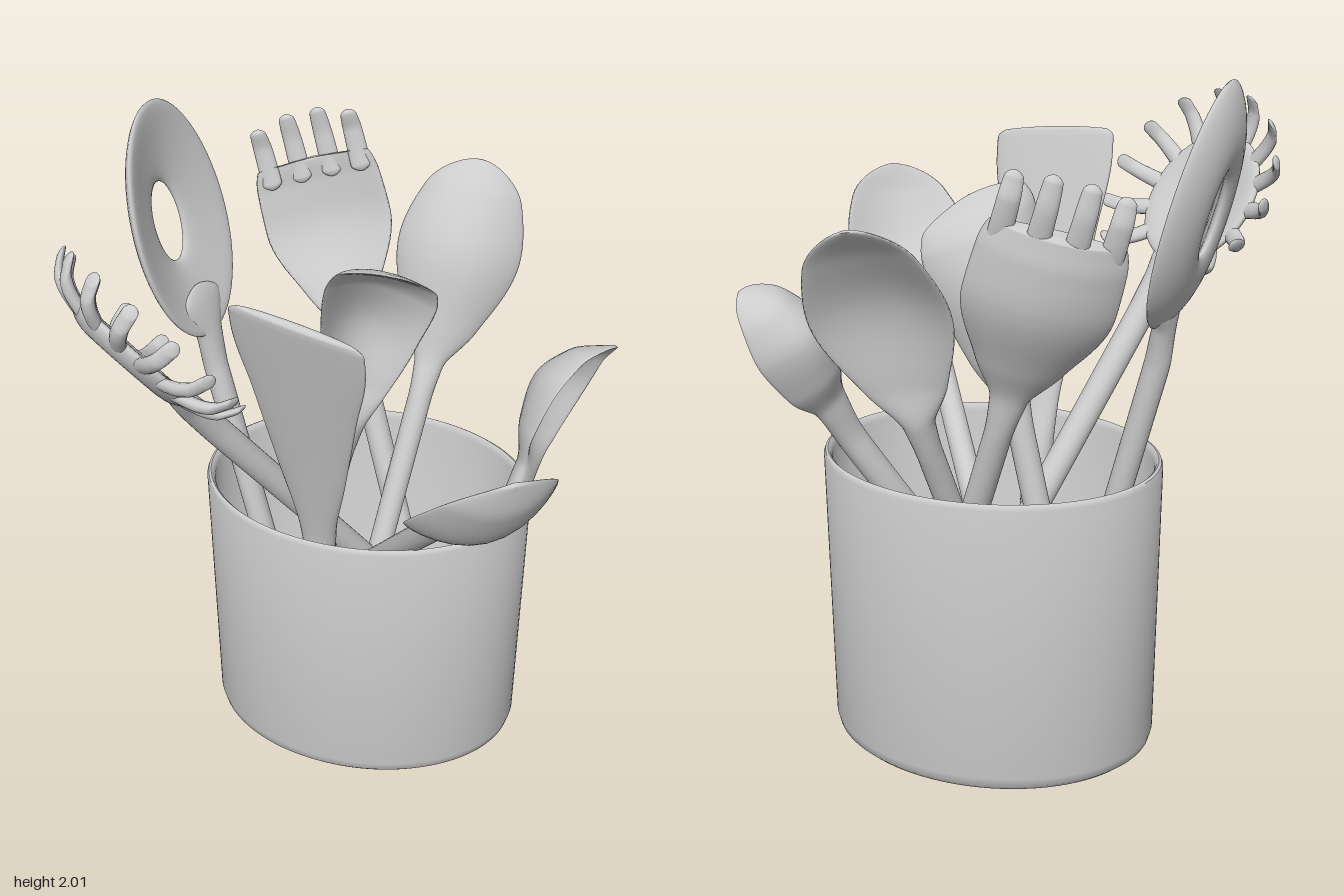
import * as THREE from 'three';
import { toCreasedNormals } from 'three/addons/utils/BufferGeometryUtils.js';

const material = new THREE.MeshStandardMaterial({ color: 0xcccccc, side: THREE.DoubleSide });
const V = (a) => new THREE.Vector3(...a);

function mesh(geometry, name, parent) {
  const m = new THREE.Mesh(geometry, material);
  m.name = name;
  parent.add(m);
  return m;
}

// Smooth skin over closed cross-sections; closed = rows also join up in a ring
function skin(rows, cols, point, closed) {
  const pos = [], index = [];
  for (let i = 0; i < rows; i++)
    for (let j = 0; j < cols; j++) pos.push(...point(i, (j / cols) * Math.PI * 2));
  for (let i = 0; i < (closed ? rows : rows - 1); i++)
    for (let j = 0; j < cols; j++) {
      const a = i * cols + j, b = i * cols + (j + 1) % cols;
      const c = ((i + 1) % rows) * cols + j, d = ((i + 1) % rows) * cols + (j + 1) % cols;
      index.push(a, c, b, b, c, d);
    }
  const g = new THREE.BufferGeometry();
  g.setAttribute('position', new THREE.Float32BufferAttribute(pos, 3));
  g.setIndex(index);
  g.computeVertexNormals();
  return g;
}

// Monotone cubic through column values of the keys
function sample(keys, value, i, f) {
  const slope = (k) => (value(keys[k + 1]) - value(keys[k])) / (keys[k + 1][0] - keys[k][0]);
  const tangent = (k) => {
    if (k === 0) return slope(0);
    if (k === keys.length - 1) return slope(k - 1);
    const a = slope(k - 1), b = slope(k);
    return a * b <= 0 ? 0 : (2 * a * b) / (a + b);
  };
  const h = keys[i + 1][0] - keys[i][0], g = 1 - f;
  return value(keys[i]) * (1 + 2 * f) * g * g + value(keys[i + 1]) * f * f * (3 - 2 * f)
    + h * f * g * (tangent(i) * g - tangent(i + 1) * f);
}

// Keys: [y, half width, half thickness, z shift, dish depth]; shear tilts the end sideways
function loft(keys, shear = 0, cols = 28) {
  const steps = 9, last = keys.length - 2, stations = [];
  for (let i = 0; i <= last; i++)
    for (let s = 0; s < steps + (i === last ? 1 : 0); s++) {
      let f = s / steps;
      if (i === 0) f = 1 - Math.cos(f * Math.PI / 2);
      else if (i === last) f = Math.sin(f * Math.PI / 2);
      const col = (c) => sample(keys, (k) => k[c] || 0, i, f);
      const root = (c) => Math.sqrt(Math.max(0, sample(keys, (k) => k[c] ** 2, i, f)));
      stations.push([col(0), root(1), root(2), col(3), col(4)]);
    }
  return skin(stations.length, cols, (i, a) => {
    const [y, w, t, z, dish] = stations[i], x = w * Math.cos(a);
    return [x, y + shear * x, t * Math.sin(a) + z - dish * Math.sin(a) ** 2];
  });
}

// Dished plate with an oval hole
function holedPlate(cy, outer, inner, thick, dish, taper) {
  const n = 72;
  return skin(n, 24, (i, a) => {
    const p = (i / n) * Math.PI * 2, s = 0.5 + 0.5 * Math.cos(a), c = Math.cos(p), q = Math.sin(p);
    const rx = THREE.MathUtils.lerp(inner[0], outer[0] * (1 + taper * q), s);
    const ry = THREE.MathUtils.lerp(inner[1], outer[1], s);
    return [rx * c, cy + ry * q, thick * Math.sin(a) + dish * (s * s - 0.5)];
  }, true);
}

// Group standing at base, with y along the tool and z towards its face
function tool(name, base, tip, facing, parent) {
  const g = new THREE.Group();
  const y = V(tip).sub(V(base)).normalize();
  const x = y.clone().cross(V(facing)).normalize();
  g.quaternion.setFromRotationMatrix(new THREE.Matrix4().makeBasis(x, y, x.clone().cross(y)));
  g.position.set(...base);
  g.name = name;
  parent.add(g);
  return g;
}

const handle = (r, end) => [[0, 0, 0], [0.03, r, r], [end, r, r]];

export function createModel() {
  const model = new THREE.Group();

  // Oval crock with rounded foot and rim
  const profile = [[0, 0], [0.9, 0], [0.95, 0.005], [0.985, 0.02], [1, 0.05], [1, 0.905], [0.99, 0.918],
    [0.975, 0.922], [0.96, 0.915], [0.95, 0.9], [0.95, 0.06], [0.92, 0.04], [0, 0.04]];
  const crock = new THREE.LatheGeometry(profile.map((p) => new THREE.Vector2(...p)), 96);
  crock.scale(0.487, 1, 0.35);
  mesh(toCreasedNormals(crock, 0.7), 'crock', model).position.set(0.035, 0, -0.1);

  // Spoon with an oval hole
  const slotted = tool('holedSpoon', [-0.17, 0.15, -0.05], [-0.61, 2, -0.19], [0.97, 0, 0.25], model);
  mesh(loft([...handle(0.036, 1.1), [1.22, 0.05, 0.03, 0.01], [1.32, 0.09, 0.016, 0.015], [1.37, 0, 0, 0.01]]), 'handle', slotted);
  mesh(holedPlate(1.565, [0.21, 0.342], [0.063, 0.115], 0.022, 0.05, -0.06), 'head', slotted);

  // Pasta server: holed disc ringed with curled teeth
  const pasta = tool('pastaServer', [0.06, 0.45, -0.22], [-0.49, 1.56, 0.36], [0.55, 0.5, -0.6], model);
  mesh(loft([...handle(0.04, 0.95), [1.1, 0.052, 0.036], [1.2, 0.075, 0.022], [1.27, 0.07, 0.014], [1.29, 0, 0]]), 'handle', pasta);
  mesh(holedPlate(1.368, [0.195, 0.205], [0.068, 0.085], 0.022, 0.025, 0), 'disc', pasta);
  const teeth = 12;
  for (let i = 0; i < teeth; i++) {
    const tooth = mesh(loft([[0.14, 0, 0, 0], [0.15, 0.026, 0.015, 0], [0.22, 0.024, 0.018, 0.015],
      [0.27, 0.022, 0.019, 0.04], [0.298, 0.021, 0.019, 0.08], [0.305, 0, 0, 0.09]], 0, 14), 'tooth', pasta);
    tooth.position.y = 1.368;
    tooth.rotation.z = THREE.MathUtils.degToRad(-137 + (274 * i) / (teeth - 1));
  }

  // Flat turner
  const turner = tool('turner', [-0.05, 0.1, -0.03], [-0.045, 1.74, 0.41], [-0.25, 0, 0.97], model);
  mesh(loft([...handle(0.045, 0.7), [0.88, 0.057, 0.03], [1.14, 0.105, 0.022], [1.4, 0.15, 0.018],
    [1.62, 0.187, 0.016], [1.67, 0.186, 0.015], [1.69, 0.165, 0.013], [1.7, 0, 0]], -0.04), 'blade', turner);

  // Front spoon, bowl facing up and inwards
  const front = tool('frontSpoon', [-0.02, 0.45, -0.21], [0.53, 1.54, 0.66], [-0.5, 0, -0.8], model);
  mesh(loft([...handle(0.036, 0.85), [0.98, 0.045, 0.03], [1.07, 0.125, 0.022, 0, 0.03], [1.24, 0.192, 0.018, 0, 0.08],
    [1.4, 0.15, 0.016, 0, 0.05], [1.5, 0, 0.006, 0, 0]]), 'spoon', front);

  // Corner spoon in the middle, with a slanted top edge
  const corner = tool('cornerSpoon', [-0.24, 0.15, -0.17], [0.1, 1.65, -0.05], [0.5, 0, 0.85], model);
  mesh(loft([...handle(0.038, 0.85), [0.98, 0.05, 0.034], [1.12, 0.105, 0.024, -0.01, 0.05], [1.3, 0.152, 0.018, -0.01, 0.1],
    [1.44, 0.172, 0.016, 0, 0.08], [1.5, 0.155, 0.014, 0.01, 0.05], [1.54, 0, 0.006, 0.02, 0]], -0.25), 'spoon', corner);

  // Large back spoon, bowl facing outwards
  const back = tool('backSpoon', [0.03, 0.42, -0.15], [0.26, 1.71, -0.65], [0, 0, -1], model);
  mesh(loft([...handle(0.036, 0.65), [0.77, 0.045, 0.032], [0.9, 0.115, 0.022, 0, 0.03], [1.13, 0.185, 0.018, 0, 0.075],
    [1.3, 0.145, 0.016, 0, 0.045], [1.4, 0, 0.006, 0, 0]]), 'spoon', back);

  // Fork spoon with four tines
  const fork = tool('forkSpoon', [0.15, 0.45, -0.25], [-0.27, 1.84, -0.58], [0.2, 0, 0.97], model);
  mesh(loft([...handle(0.038, 0.7), [0.83, 0.05, 0.03], [0.95, 0.115, 0.022, -0.01, 0.02], [1.15, 0.19, 0.017, -0.02, 0.05],
    [1.27, 0.185, 0.016, -0.01, 0.045], [1.34, 0.167, 0.014, 0, 0.035], [1.35, 0, 0.004, 0, 0.03]]), 'bowl', fork);
  for (const x of [-0.135, -0.046, 0.046, 0.135]) {
    const drop = 0.035 * (1 - (x / 0.167) ** 2), end = 1.5 - Math.abs(x) * 0.25;
    const tine = mesh(loft([[1.28, 0, 0, -drop], [1.3, 0.03, 0.013, -drop], [1.4, 0.028, 0.014, 0.008 - drop],
      [end - 0.015, 0.023, 0.013, 0.03 - drop], [end, 0, 0, 0.035 - drop]], 0, 14), 'tine', fork);
    tine.position.x = x;
  }

  // Small deep scoop on a curved handle
  const scoop = tool('scoop', [0.12, 0.3, 0.14], [0.67, 1.4, -0.24], [0.95, 0, 0.3], model);
  mesh(loft([[0, 0, 0, -0.02], [0.03, 0.042, 0.04, -0.01], [0.4, 0.044, 0.042, 0.04], [0.7, 0.046, 0.038, 0.045],
    [0.86, 0.062, 0.03, 0.025, 0.01], [0.97, 0.115, 0.02, 0.015, 0.07], [1.1, 0.132, 0.017, 0.01, 0.1],
    [1.21, 0.1, 0.016, 0.015, 0.06], [1.29, 0, 0.008, 0.045, 0]]), 'scoop', scoop);

  return model;
}
